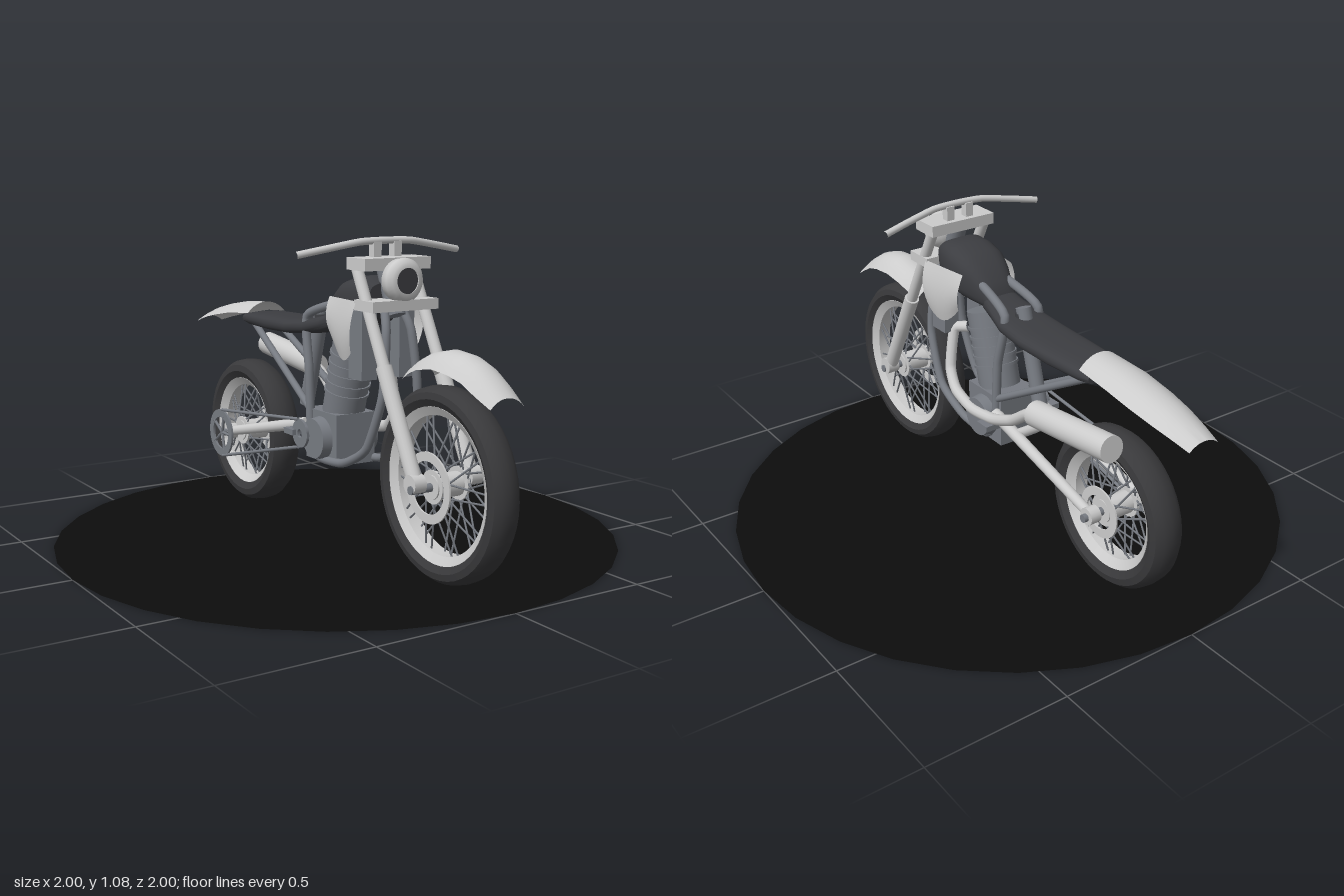
import * as THREE from 'three';
import { toCreasedNormals } from 'three/addons/utils/BufferGeometryUtils.js';

const mat = (color, side = THREE.FrontSide) => new THREE.MeshStandardMaterial({ color, side });
const light = mat(0xcccccc), panel = mat(0xcccccc, THREE.DoubleSide), frameGrey = mat(0x777b82);
const dark = mat(0x3c3d41), rubber = mat(0x39393b), black = mat(0x0d0d0d, THREE.DoubleSide);
const V = (x, y, z) => new THREE.Vector3(x, y, z);

export function createModel() {
  const model = new THREE.Group();

  function add(name, geo, material, pos = [0, 0, 0], parent = model) {
    const m = new THREE.Mesh(geo, material);
    m.name = name;
    m.position.set(...pos);
    parent.add(m);
    return m;
  }
  const box = (name, size, pos, material) => add(name, new THREE.BoxGeometry(...size), material, pos);
  // straight cylinder between two points
  function rod(name, a, b, r, material, parent = model, r2 = r, sides = 16) {
    const p = V(...a), q = V(...b), d = q.clone().sub(p);
    const m = add(name, new THREE.CylinderGeometry(r2, r, d.length(), sides), material,
      p.clone().add(q).multiplyScalar(0.5).toArray(), parent);
    m.quaternion.setFromUnitVectors(V(0, 1, 0), d.normalize());
    return m;
  }
  // bent tube through points
  const pipe = (name, pts, r, material) => add(name, new THREE.TubeGeometry(
    new THREE.CatmullRomCurve3(pts.map(p => V(...p)), false, 'catmullrom', 0.3), 40, r, 12), material);
  // lathe turned around the x axis; profile points are [radius, x]
  const turned = (profile, n = 48) => toCreasedNormals(new THREE.LatheGeometry(
    profile.map(p => new THREE.Vector2(...p)), n).rotateZ(-Math.PI / 2), 0.7);
  // surface from rows x columns of points
  function sheet(rows, cols, f) {
    const pos = [], idx = [];
    for (let i = 0; i <= rows; i++) for (let j = 0; j <= cols; j++) pos.push(...f(i / rows, j / cols));
    for (let i = 0; i < rows; i++) for (let j = 0; j < cols; j++) {
      const a = i * (cols + 1) + j, d = a + cols + 1;
      idx.push(a, a + 1, d, a + 1, d + 1, d);
    }
    const g = new THREE.BufferGeometry();
    g.setAttribute('position', new THREE.Float32BufferAttribute(pos, 3));
    g.setIndex(idx);
    return toCreasedNormals(g, 0.8);
  }
  // closed body from sections [z, yBottom, yTop, halfWidth], back to front
  function body(s) {
    const mid = ([z, b, t]) => [z, (b + t) / 2, (b + t) / 2, 0];
    const all = [mid(s[0]), ...s, mid(s[s.length - 1])], n = all.length - 1;
    const soft = v => Math.sign(v) * Math.abs(v) ** 0.65;
    return sheet(n, 28, (u, v) => {
      const [z, b, t, w] = all[Math.round(u * n)], a = v * Math.PI * 2;
      return [w * soft(Math.cos(a)), (b + t) / 2 + (t - b) / 2 * soft(Math.sin(a)), z];
    });
  }
  // arched fender from sections [z, crownY, halfWidth, drop], back to front
  const fender = s => sheet(s.length - 1, 12, (u, v) => {
    const [z, y, w, drop] = s[Math.round(u * (s.length - 1))], t = v * 2 - 1;
    return [-w * t, y - drop * Math.abs(t) ** 2.2, z];
  });

  // display disc under the wheels
  add('displayDisc', new THREE.CircleGeometry(1, 32).rotateX(-Math.PI / 2), black, [0, 0.003, 0]);

  // spoked wheels
  function wheel(name, z, y, R, rimOut, rimIn, w) {
    const g = new THREE.Group();
    g.name = name;
    g.position.set(0, y, z);
    model.add(g);
    const h = R - rimOut;
    add('tire', turned([[rimOut, -w * 0.7], [rimOut + h * 0.4, -w], [rimOut + h * 0.72, -w * 0.92],
      [R - 0.004, -w * 0.55], [R, 0], [R - 0.004, w * 0.55], [rimOut + h * 0.72, w * 0.92],
      [rimOut + h * 0.4, w], [rimOut, w * 0.7], [rimOut, -w * 0.7]]), rubber, [0, 0, 0], g);
    add('rim', turned([[rimIn, -0.025], [rimOut + 0.004, -w * 0.78], [rimOut + 0.004, w * 0.78],
      [rimIn, 0.025], [rimIn, -0.025]]), light, [0, 0, 0], g);
    rod('hub', [-0.06, 0, 0], [0.06, 0, 0], 0.04, light, g);
    rod('axle', [-0.14, 0, 0], [0.14, 0, 0], 0.014, frameGrey, g);
    for (const s of [-1, 1]) {
      rod('hubFlange', [s * 0.045, 0, 0], [s * 0.055, 0, 0], 0.055, light, g, 0.055, 24);
      for (let i = 0; i < 20; i++) {
        const a = (Math.floor(i / 2) + (s > 0 ? 0.5 : 0)) * Math.PI / 5, k = i % 2 ? 1 : -1;
        const b = a + k * 0.5, c = a + k * 0.07;
        rod('spoke', [s * 0.05, 0.05 * Math.sin(b), 0.05 * Math.cos(b)],
          [s * 0.012, (rimIn + 0.005) * Math.sin(c), (rimIn + 0.005) * Math.cos(c)], 0.0035, frameGrey, g, 0.0035, 5);
      }
    }
    return g;
  }
  const ring = (ro, ri, t) => turned([[ri, -t], [ro, -t], [ro, t], [ri, t], [ri, -t]], 36);
  const front = wheel('frontWheel', 0.65, 0.32, 0.318, 0.25, 0.225, 0.053);
  const rear = wheel('rearWheel', -0.61, 0.283, 0.28, 0.205, 0.18, 0.06);
  add('brakeDisc', ring(0.115, 0.085, 0.003), light, [-0.07, 0, 0], front);
  add('brakeDisc', ring(0.09, 0.06, 0.003), light, [0.07, 0, 0], rear);
  add('sprocket', ring(0.092, 0.062, 0.004), frameGrey, [-0.145, 0, 0], rear);
  for (let i = 0; i < 5; i++) {
    const a = i * Math.PI * 0.4;
    rod('sprocketArm', [-0.142, 0, 0], [-0.145, 0.07 * Math.sin(a), 0.07 * Math.cos(a)], 0.006, frameGrey, rear, 0.006, 6);
  }
  // chain
  rod('chainUpper', [-0.145, 0.375, -0.6], [-0.145, 0.435, -0.02], 0.006, frameGrey);
  rod('chainLower', [-0.145, 0.193, -0.6], [-0.145, 0.335, -0.02], 0.006, frameGrey);
  add('driveSprocket', ring(0.05, 0.015, 0.005), frameGrey, [-0.14, 0.385, -0.01]);

  // paired parts
  for (const s of [-1, 1]) {
    // fork
    rod('forkTube', [s * 0.11, 1.01, 0.29], [s * 0.11, 0.55, 0.527], 0.02, light);
    rod('forkLeg', [s * 0.11, 0.68, 0.46], [s * 0.11, 0.335, 0.638], 0.027, light, model, 0.025);
    rod('axleClamp', [s * 0.09, 0.335, 0.64], [s * 0.135, 0.335, 0.64], 0.032, light);
    // cradle frame and rear subframe
    pipe('frameCradle', [[s * 0.03, 0.87, 0.34], [s * 0.05, 0.78, 0.385], [s * 0.07, 0.57, 0.395], [s * 0.08, 0.38, 0.315],
      [s * 0.08, 0.305, 0.17], [s * 0.08, 0.3, 0.01], [s * 0.08, 0.4, -0.04]], 0.015, frameGrey);
    pipe('frameSpine', [[s * 0.03, 0.88, 0.3], [s * 0.05, 0.85, 0.1], [s * 0.07, 0.79, -0.08], [s * 0.08, 0.6, -0.05],
      [s * 0.08, 0.4, -0.04]], 0.016, frameGrey);
    rod('subframeStrut', [s * 0.08, 0.46, -0.04], [s * 0.05, 0.72, -0.5], 0.013, frameGrey);
    rod('seatRail', [s * 0.07, 0.745, -0.06], [s * 0.05, 0.725, -0.5], 0.012, frameGrey);
    // swingarm
    rod('swingarm', [s * 0.09, 0.41, -0.05], [s * 0.105, 0.285, -0.61], 0.022, light, model, 0.018);
    rod('swingarmEnd', [s * 0.085, 0.285, -0.61], [s * 0.125, 0.285, -0.61], 0.03, light);
    // footpeg
    box('footpeg', [0.06, 0.02, 0.06], [s * 0.13, 0.385, -0.065], frameGrey);
    // radiator and flared shroud
    box('radiator', [0.06, 0.24, 0.08], [s * 0.075, 0.735, 0.285], frameGrey);
    add('tankShroud', sheet(8, 8, (u, v) => {
      const bottom = 0.675 + 0.16 * Math.abs(u - 0.6) ** 1.8;
      const y = 0.88 + (bottom - 0.88) * v;
      const z = 0.125 + 0.2 * u + (0.5 - u) * 0.05 * v * v;
      return [s * (0.095 + 0.025 * u + 0.028 * Math.sin(Math.PI * (0.1 + 0.75 * v))), y, z];
    }), panel);
    // handlebar riser
    box('barRiser', [0.03, 0.06, 0.03], [s * 0.04, 1.04, 0.305], light);
  }
  rod('swingarmBrace', [-0.09, 0.385, -0.18], [0.09, 0.385, -0.18], 0.018, light);
  rod('shockAbsorber', [0, 0.81, -0.09], [0, 0.45, -0.2], 0.027, frameGrey);

  // steering head
  box('upperClamp', [0.26, 0.04, 0.11], [0, 1.0, 0.325], light);
  box('lowerClamp', [0.26, 0.035, 0.11], [0, 0.868, 0.37], light);
  rod('headTube', [0, 1.0, 0.3], [0, 0.83, 0.37], 0.032, frameGrey);
  pipe('handlebar', [[-0.32, 1.032, 0.27], [-0.22, 1.05, 0.288], [-0.1, 1.07, 0.305], [0, 1.073, 0.308],
    [0.1, 1.07, 0.305], [0.22, 1.05, 0.288], [0.32, 1.032, 0.27]], 0.012, light);

  // headlight bowl and lens
  const bowl = [[0.001, 0], [0.045, 0.01], [0.07, 0.04], [0.073, 0.07], [0.06, 0.088], [0.042, 0.09]];
  add('headlight', new THREE.LatheGeometry(bowl.map(p => new THREE.Vector2(...p)), 32).rotateX(Math.PI / 2),
    panel, [0, 0.948, 0.345]);
  add('headlightLens', new THREE.CircleGeometry(0.046, 32), dark, [0, 0.948, 0.425]);

  // fenders
  add('frontFender', fender([[0.5, 0.685, 0.065, 0.04], [0.55, 0.715, 0.076, 0.045], [0.6, 0.738, 0.083, 0.05],
    [0.68, 0.755, 0.086, 0.055], [0.76, 0.748, 0.086, 0.055], [0.82, 0.727, 0.082, 0.05],
    [0.88, 0.69, 0.076, 0.045], [0.94, 0.642, 0.064, 0.03]]), panel);
  add('rearFender', fender([[-0.99, 0.7, 0.058, 0.022], [-0.92, 0.727, 0.07, 0.03], [-0.84, 0.752, 0.082, 0.037],
    [-0.75, 0.772, 0.089, 0.04], [-0.64, 0.79, 0.09, 0.04], [-0.5, 0.8, 0.082, 0.04]]), panel);

  // seat and tank
  add('seat', body([[-0.545, 0.72, 0.757, 0.08], [-0.5, 0.712, 0.765, 0.088], [-0.35, 0.708, 0.768, 0.096],
    [-0.2, 0.712, 0.77, 0.1], [-0.08, 0.725, 0.78, 0.095], [0.0, 0.74, 0.8, 0.075], [0.07, 0.75, 0.83, 0.06]]), dark);
  add('fuelTank', body([[0.03, 0.76, 0.81, 0.058], [0.06, 0.76, 0.855, 0.065], [0.11, 0.765, 0.905, 0.085],
    [0.16, 0.77, 0.935, 0.1], [0.22, 0.78, 0.952, 0.102], [0.28, 0.8, 0.956, 0.094], [0.325, 0.84, 0.935, 0.075]]), dark);
  add('seatButton', new THREE.CylinderGeometry(0.028, 0.03, 0.02, 24), dark, [0, 0.782, -0.09]);

  // engine
  box('crankcase', [0.16, 0.18, 0.2], [0, 0.375, 0.03], frameGrey);
  const barrel = rod('cylinder', [0, 0.46, 0.05], [0, 0.73, 0.125], 0.075, frameGrey, model, 0.075, 24);
  for (let i = 0; i < 5; i++) add('coolingFin', new THREE.CylinderGeometry(0.08, 0.08, 0.01, 24), frameGrey,
    [0, -0.06 + i * 0.035, 0], barrel);
  for (const s of [-1, 1]) rod('engineCover', [s * 0.07, 0.37, 0.03], [s * 0.115, 0.37, 0.03], 0.078, frameGrey, model, 0.07, 28);

  // exhaust
  pipe('exhaustPipe', [[0.03, 0.64, 0.2], [0.06, 0.62, 0.25], [0.09, 0.48, 0.235], [0.11, 0.42, 0.17],
    [0.12, 0.395, 0.05], [0.12, 0.41, -0.08], [0.125, 0.46, -0.2], [0.135, 0.53, -0.3], [0.14, 0.555, -0.36]], 0.02, light);
  rod('muffler', [0.14, 0.557, -0.35], [0.14, 0.602, -0.74], 0.045, light, model, 0.045, 28);

  return model;
}
